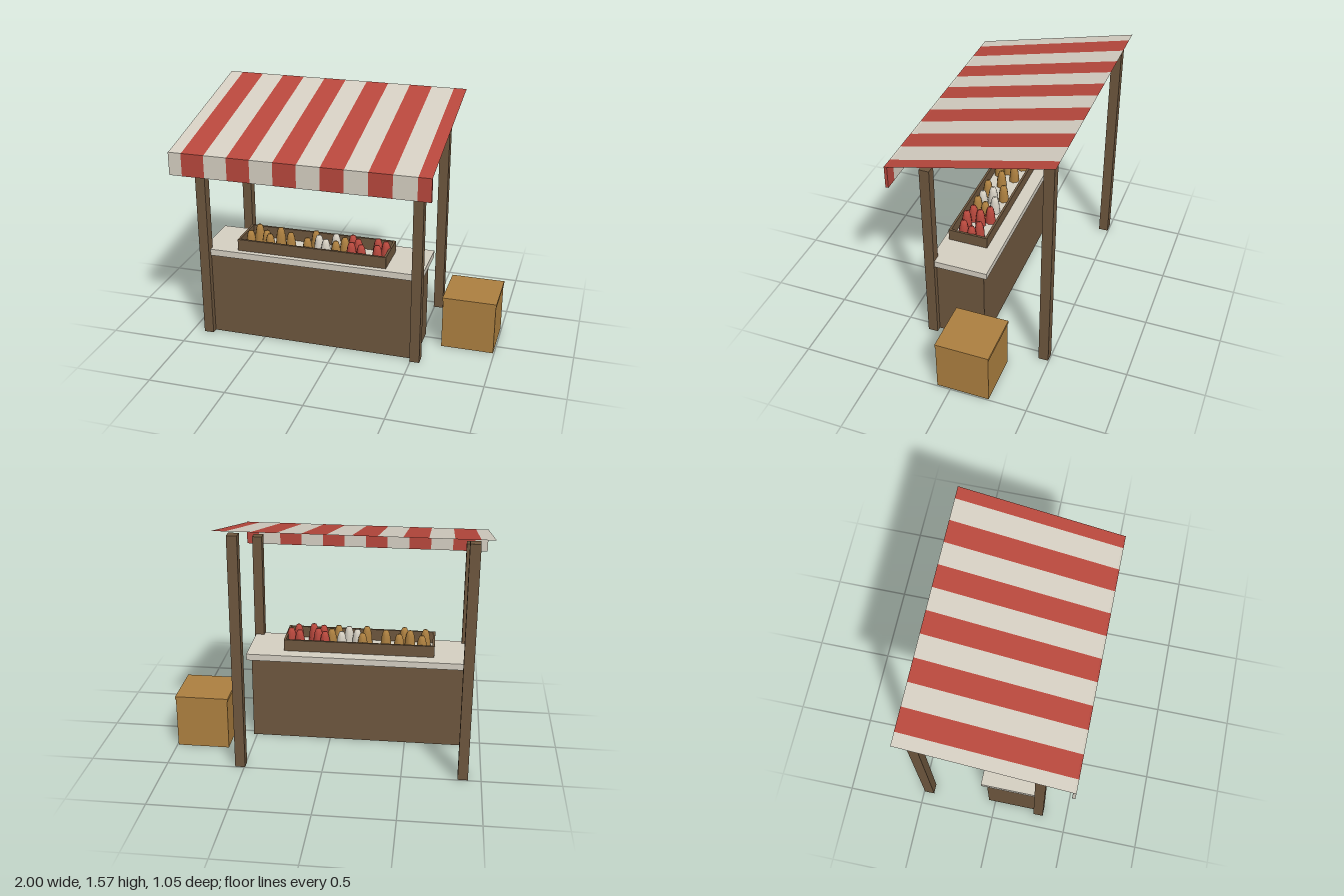
import * as THREE from 'three';

const mat = (name, color) => {
  const m = new THREE.MeshStandardMaterial({ color, side: THREE.DoubleSide });
  m.name = name;
  return m;
};

export function createModel() {
  const stall = new THREE.Group();
  stall.name = 'marketStall';
  const wood = mat('darkWood', 0x6e573e);
  const gold = mat('goldenWood', 0xad8040);
  const cream = mat('cream', 0xd6d0c3);
  const red = mat('red', 0xb8483d);

  const add = (name, geometry, material, parent = stall) => {
    const mesh = new THREE.Mesh(geometry, material);
    mesh.name = name;
    parent.add(mesh);
    return mesh;
  };

  // Box given by its limits; an open box has no underside
  const box = (name, material, [x0, x1], [y0, y1], [z0, z1], open = false, parent = stall) => {
    const g = new THREE.BoxGeometry(x1 - x0, y1 - y0, z1 - z0);
    if (open) {
      const index = Array.from(g.index.array);
      index.splice(18, 6);
      g.setIndex(index);
      g.clearGroups();
    }
    g.translate((x0 + x1) / 2, (y0 + y1) / 2, (z0 + z1) / 2);
    return add(name, g, material, parent);
  };

  // Four posts, the rear pair taller
  for (const x of [-0.886, 0.527]) {
    const side = x < 0 ? 'Right' : 'Left';
    box('frontPost' + side, wood, [x - 0.032, x + 0.032], [0, 1.3], [0.275, 0.34]);
    box('rearPost' + side, wood, [x - 0.032, x + 0.032], [0, 1.535], [-0.495, -0.43]);
  }

  // Counter, hollow underneath, with its overhanging top
  box('counterBody', wood, [-0.885, 0.522], [0, 0.56], [-0.045, 0.3], true);
  box('counterTop', cream, [-0.912, 0.552], [0.56, 0.603], [-0.075, 0.31]);

  // Striped awning: sloping sheet and hanging front valance
  const awning = new THREE.Group();
  awning.name = 'awning';
  stall.add(awning);
  const zFront = 0.51, zRear = -0.525, yFront = 1.33, yRear = 1.57;
  const slope = Math.hypot(zFront - zRear, yRear - yFront);
  const tilt = Math.atan2(yRear - yFront, zFront - zRear);
  const pitch = 0.1473;
  for (let i = 0; i < 12; i++) {
    const x0 = i === 0 ? -1 : -0.916 + (i - 1) * pitch;
    const x1 = Math.min(-0.916 + i * pitch, 0.64);
    const colour = i % 2 ? red : cream;
    const sheet = new THREE.PlaneGeometry(x1 - x0, slope);
    sheet.rotateX(-Math.PI / 2 + tilt);
    sheet.translate((x0 + x1) / 2, (yFront + yRear) / 2, (zFront + zRear) / 2);
    add('awningStripe', sheet, colour, awning);
    box('valanceStripe', colour, [x0, x1], [1.182, 1.33], [0.505, 0.524], false, awning);
  }

  // Produce tray: four walls standing on the counter
  const tray = new THREE.Group();
  tray.name = 'produceTray';
  stall.add(tray);
  const trayY = [0.603, 0.68];
  box('trayFront', wood, [-0.675, 0.315], trayY, [0.26, 0.275], false, tray);
  box('trayRear', wood, [-0.675, 0.315], trayY, [0.012, 0.027], false, tray);
  box('trayEndRight', wood, [-0.675, -0.66], trayY, [0.027, 0.26], false, tray);
  box('trayEndLeft', wood, [0.3, 0.315], trayY, [0.027, 0.26], false, tray);

  // Produce: small tapered bodies with blunt tops
  const profile = [[0.036, 0], [0.033, 0.05], [0.026, 0.09], [0.016, 0.115], [0, 0.118]]
    .map(([r, y]) => new THREE.Vector2(r, y));
  const body = new THREE.LatheGeometry(profile, 8);
  const rows = [
    [gold, [[-0.61, 0.2], [-0.59, 0.09], [-0.51, 0.17], [-0.47, 0.22], [-0.44, 0.1], [-0.35, 0.16], [-0.22, 0.21], [-0.2, 0.09]]],
    [cream, [[-0.16, 0.15], [-0.1, 0.2], [-0.06, 0.1]]],
    [gold, [[-0.03, 0.21], [0.01, 0.14]]],
    [red, [[0.05, 0.09], [0.07, 0.2], [0.1, 0.14], [0.14, 0.22], [0.22, 0.1], [0.24, 0.2], [0.28, 0.13]]],
  ];
  for (const [material, spots] of rows) {
    for (const [x, z] of spots) add('produce', body, material, tray).position.set(x, 0.603, z);
  }

  // Crate beside the stall, hollow underneath, with a lid
  box('crate', gold, [0.652, 0.993], [0, 0.335], [-0.253, 0.09], true);
  box('crateLid', gold, [0.648, 0.997], [0.335, 0.355], [-0.256, 0.093]);

  return stall;
}
